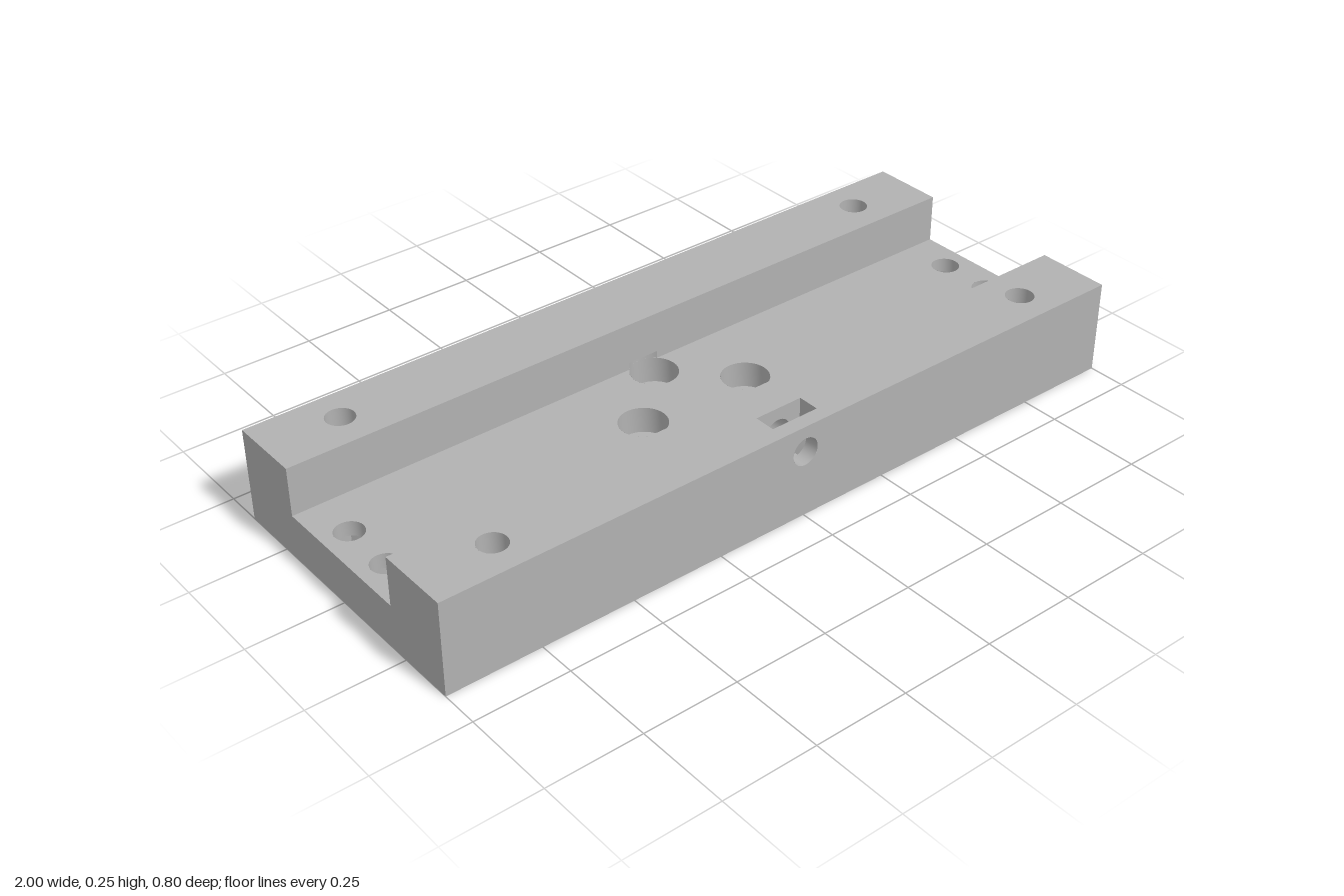
import * as THREE from 'three';

const L = 1, D = 0.4, H = 0.25;          // half length, half depth, height
const IN = 0.204, FLOOR = 0.12;          // channel half width and floor height
const R = 0.037, BORE = 0.062, NUT = 0.067;
const NUT_TOP = 0.08, BORE_BASE = 0.05, NOTCH_TOP = 0.14;
const CROSS_Y = 0.18, SLOT0 = 0.303, SLOT1 = 0.36;
const OFF = 0.16;                        // centre of counterbores from the middle
const ANG = Math.acos((IN - OFF) / BORE), W = BORE * Math.sin(ANG);

const poly = pts => new THREE.Shape(pts.map(([x, y]) => new THREE.Vector2(x, y)));
const rect = (x0, y0, x1, y1) => poly([[x0, y0], [x1, y0], [x1, y1], [x0, y1]]);
const circle = (x, y, r) => new THREE.Path().absarc(x, y, r, 0, Math.PI * 2, false);
const hexagon = (x, y) => poly([0, 1, 2, 3, 4, 5].map(i =>
  [x + NUT * Math.cos(i * Math.PI / 3), y + NUT * Math.sin(i * Math.PI / 3)]));

export function createModel() {
  const group = new THREE.Group();
  const grey = new THREE.MeshStandardMaterial({ color: 0xb2b2b2, side: THREE.DoubleSide });

  const add = (name, geometry) => {
    const mesh = new THREE.Mesh(geometry, grey);
    mesh.name = name;
    group.add(mesh);
    return mesh;
  };
  const face = (shape, holes = []) => {
    shape.holes.push(...holes);
    return new THREE.ShapeGeometry(shape, 24);
  };
  // Horizontal face; shape coordinates are x and -z
  const level = (name, y, up, shape, holes) => {
    const g = face(shape, holes).rotateX(-Math.PI / 2);
    if (!up) flip(g);
    return add(name, g.translate(0, y, 0));
  };
  // Face parallel to the front
  const wall = (name, z, front, shape, holes) => {
    const g = face(shape, holes);
    if (!front) flip(g);
    return add(name, g.translate(0, 0, z));
  };
  const flip = g => {
    const a = g.index.array;
    for (let i = 0; i < a.length; i += 3) [a[i], a[i + 1]] = [a[i + 1], a[i]];
    g.computeVertexNormals();
  };
  // Open upright tube between two heights
  const bore = (name, x, z, r, y0, y1, start = 0, sweep = Math.PI * 2) => {
    const g = new THREE.CylinderGeometry(r, r, y1 - y0, 32, 1, true, start, sweep);
    flip(g);
    return add(name, g.translate(x, (y0 + y1) / 2, z));
  };

  const endHoles = [], railHoles = [];
  for (const sx of [-1, 1]) for (const sz of [-1, 1]) {
    endHoles.push([sx * 0.93, sz * 0.075]);
    railHoles.push([sx * 0.8, sz * 0.305]);
  }
  const bolts = [[OFF, 0], [-OFF, 0], [0, OFF], [0, -OFF]];

  // Underside with nut pockets and bolt holes
  level('underside', 0, false, rect(-L, -D, L, D), [
    ...[...endHoles, ...railHoles].map(([x, z]) => hexagon(x, -z)),
    ...bolts.map(([x, z]) => circle(x, -z, R))]);

  // Channel floor, scalloped where two counterbores run under the rails
  const floor = new THREE.Shape();
  floor.moveTo(-L, -IN).lineTo(-W, -IN);
  floor.absarc(0, -OFF, BORE, -Math.PI / 2 - ANG, -Math.PI / 2 + ANG, true);
  floor.lineTo(L, -IN).lineTo(L, IN).lineTo(W, IN);
  floor.absarc(0, OFF, BORE, Math.PI / 2 - ANG, Math.PI / 2 + ANG, true);
  floor.lineTo(-L, IN);
  level('channelFloor', FLOOR, true, floor, [
    ...endHoles.map(([x, z]) => circle(x, -z, R)),
    circle(OFF, 0, BORE), circle(-OFF, 0, BORE)]);

  // U-shaped end faces
  for (const s of [-1, 1]) {
    const g = face(poly([[-D, 0], [D, 0], [D, H], [IN, H], [IN, FLOOR],
      [-IN, FLOOR], [-IN, H], [-D, H]]));
    add('endFace', g.rotateY(s * Math.PI / 2).translate(s * L, 0, 0));
  }

  // Rails: top, outer wall, inner wall and counterbore notch
  const crossHole = () => circle(0, CROSS_Y, R);
  for (const s of [-1, 1]) {
    const front = s > 0;
    const holes = railHoles.filter(p => p[1] * s > 0).map(([x, z]) => circle(x, -z, R));
    if (front) holes.push(rect(-NUT, -SLOT1, NUT, -SLOT0));
    level('railTop', H, true, front ? rect(-L, -D, L, -IN) : rect(-L, IN, L, D), holes);
    wall('outerWall', s * D, front, rect(-L, 0, L, H), front ? [crossHole()] : []);
    wall('innerWall', s * IN, !front, poly([[-L, FLOOR], [-W, FLOOR], [-W, NOTCH_TOP],
      [W, NOTCH_TOP], [W, FLOOR], [L, FLOOR], [L, H], [-L, H]]), front ? [crossHole()] : []);
    bore('notchWall', 0, s * OFF, BORE, FLOOR, NOTCH_TOP, (front ? 0 : Math.PI) - ANG, 2 * ANG);
    const mid = -s * Math.PI / 2, cap = new THREE.Shape();
    cap.absarc(0, -s * OFF, BORE, mid - ANG, mid + ANG, false);
    level('notchCeiling', NOTCH_TOP, false, cap);
  }

  // Hexagonal nut pockets with bolt holes above
  const pocket = ([x, z], top) => {
    const g = new THREE.CylinderGeometry(NUT, NUT, NUT_TOP, 6, 1, true, Math.PI / 6);
    flip(g);
    const flat = g.toNonIndexed();
    flat.computeVertexNormals();
    add('nutPocket', flat.translate(x, NUT_TOP / 2, z));
    level('nutPocketCeiling', NUT_TOP, false, hexagon(x, -z), [circle(x, -z, R)]);
    bore('boltHole', x, z, R, NUT_TOP, top);
  };
  endHoles.forEach(p => pocket(p, FLOOR));
  railHoles.forEach(p => pocket(p, H));

  // Counterbored holes in the middle of the channel
  for (const [x, z] of bolts) {
    bore('counterbore', x, z, BORE, BORE_BASE, FLOOR);
    level('counterboreSeat', BORE_BASE, true,
      new THREE.Shape().absarc(x, -z, BORE, 0, Math.PI * 2, false), [circle(x, -z, R)]);
    bore('centreHole', x, z, R, 0, BORE_BASE);
  }

  // Nut slot in the front rail, with a half-hexagon bottom
  const c = NUT / 2, base = CROSS_Y - NUT * Math.sqrt(3) / 2;
  const profile = [[-NUT, H], [-NUT, CROSS_Y], [-c, base], [c, base], [NUT, CROSS_Y], [NUT, H]];
  for (let i = 0; i < profile.length - 1; i++) {
    const [x0, y0] = profile[i], [x1, y1] = profile[i + 1];
    const g = new THREE.PlaneGeometry(Math.hypot(x1 - x0, y1 - y0), SLOT1 - SLOT0);
    g.rotateX(-Math.PI / 2).rotateZ(Math.atan2(y1 - y0, x1 - x0));
    add('slotSide', g.translate((x0 + x1) / 2, (y0 + y1) / 2, (SLOT0 + SLOT1) / 2));
  }
  wall('slotRear', SLOT0, true, poly(profile), [crossHole()]);
  wall('slotFront', SLOT1, false, poly(profile), [crossHole()]);

  // Clamp screw hole through the front rail
  for (const [z0, z1] of [[IN, SLOT0], [SLOT1, D]]) {
    const g = new THREE.CylinderGeometry(R, R, z1 - z0, 32, 1, true);
    flip(g);
    add('screwHole', g.rotateX(Math.PI / 2).translate(0, CROSS_Y, (z0 + z1) / 2));
  }
  return group;
}
